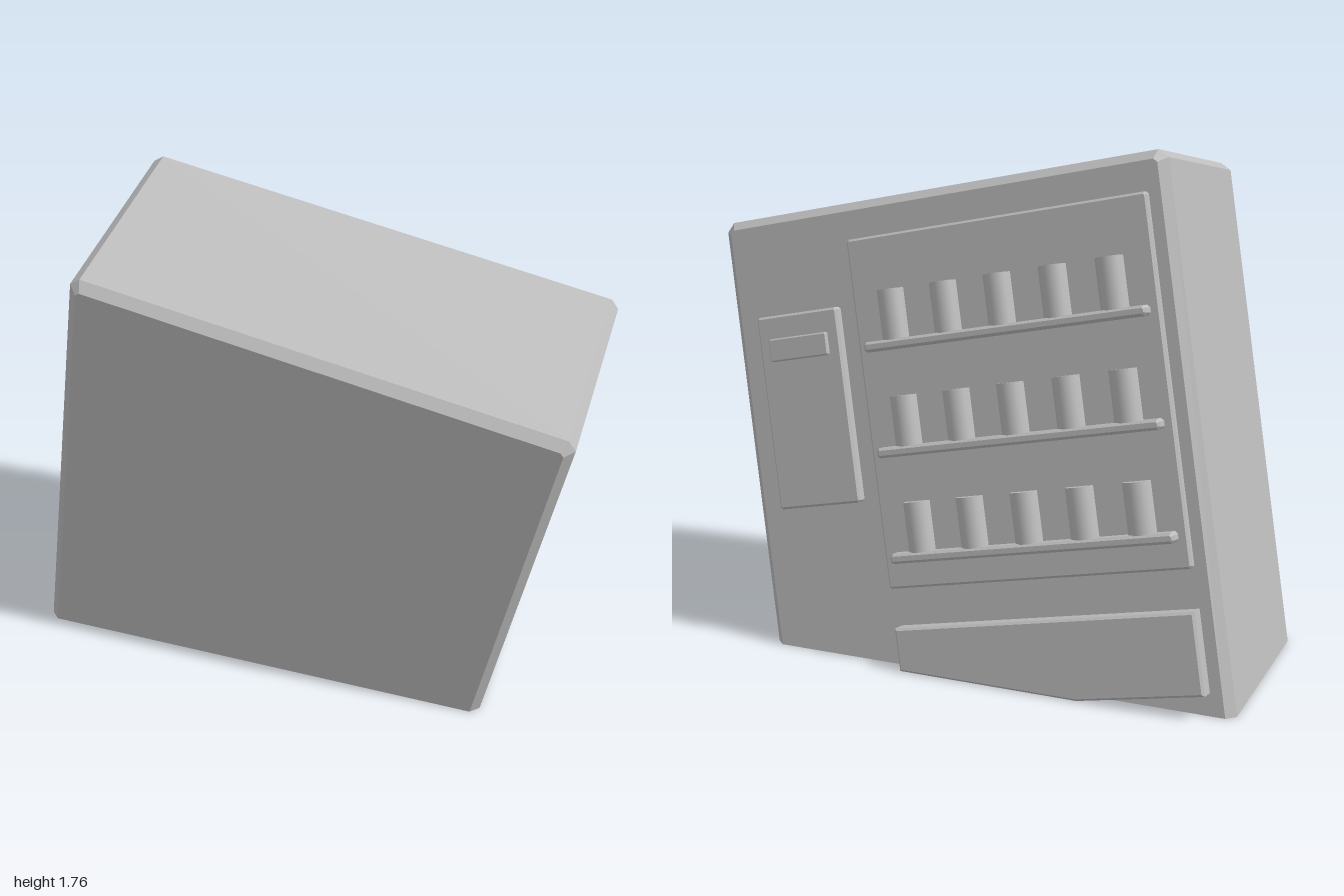
import * as THREE from 'three';

// Leaning machine axes: across, up, and depth (the display side faces -depth)
const across = new THREE.Vector3(1, -0.1945, -0.073).normalize();
const depthAxis = new THREE.Vector3().crossVectors(across, new THREE.Vector3(0.203, 1, 0.128)).normalize();
const up = new THREE.Vector3().crossVectors(depthAxis, across);
const FACE = -0.385; // local z of the display face

// Local height of the ground under a point of the leaning machine
const ground = (x, z) => -(across.y * x + depthAxis.y * z) / up.y;

// Block with chamfered edges; anything below the ground is cut off flat
function slab(points, z0, z1, chamfer) {
  const shape = new THREE.Shape(points.map(([x, y]) => new THREE.Vector2(x, y)));
  const geo = new THREE.ExtrudeGeometry(shape, {
    depth: z1 - z0 - 2 * chamfer, bevelEnabled: true, bevelSegments: 1,
    bevelThickness: chamfer, bevelSize: chamfer, bevelOffset: -chamfer,
  });
  geo.translate(0, 0, z0 + chamfer);
  const p = geo.attributes.position;
  for (let i = 0; i < p.count; i++) {
    p.setY(i, Math.max(p.getY(i), ground(p.getX(i), p.getZ(i))));
  }
  geo.computeVertexNormals();
  return geo;
}

// Rectangle outline with its corners cut by c
const outline = (x0, x1, y0, y1, c) => [
  [x0 + c, y0], [x1 - c, y0], [x1, y0 + c], [x1, y1 - c],
  [x1 - c, y1], [x0 + c, y1], [x0, y1 - c], [x0, y0 + c],
];

export function createModel() {
  const grey = new THREE.MeshStandardMaterial({ color: 0xbcbcbc });
  grey.name = 'grey';

  const model = new THREE.Group();
  model.name = 'vendingMachine';
  const machine = new THREE.Group();
  machine.name = 'leaningMachine';
  machine.quaternion.setFromRotationMatrix(new THREE.Matrix4().makeBasis(across, up, depthAxis));
  machine.position.set(-0.1375, 0, -0.0825);
  model.add(machine);

  const add = (name, geo) => {
    const mesh = new THREE.Mesh(geo, grey);
    mesh.name = name;
    machine.add(mesh);
    return mesh;
  };
  // Raised part standing out of the display face by the given amount
  const raised = (name, x0, x1, y0, y1, out, c) =>
    add(name, slab(outline(x0, x1, y0, y1, c), FACE - out, FACE + 0.03, c));

  // Cabinet, sunk into the ground
  add('cabinet', slab(outline(-0.825, 0.825, -0.4, 1.604, 0.03), FACE, -FACE, 0.03));

  // Display panel, payment panel and its slot
  raised('displayPanel', -0.755, 0.33, 0.275, 1.475, 0.026, 0.008);
  raised('paymentPanel', 0.395, 0.715, 0.58, 1.255, 0.034, 0.008);
  raised('paymentSlot', 0.44, 0.67, 1.095, 1.175, 0.048, 0.005);

  // Pickup tray, with the corner that meets the ground cut away
  const x0 = -0.755, x1 = 0.31, bottom = -0.125;
  const trayZ = FACE - 0.063;
  const cutX = (bottom - ground(0, trayZ)) / (ground(1, trayZ) - ground(0, trayZ));
  add('pickupTray', slab([
    [x0, bottom], [cutX, bottom], [x1, ground(x1, trayZ)], [x1, 0.145], [x0, 0.145],
  ], trayZ, FACE + 0.03, 0.008));

  // Three shelves, each with five cans
  const centre = -0.2125;
  const canGeo = new THREE.CylinderGeometry(0.048, 0.048, 0.17, 28);
  for (const top of [0.4, 0.76, 1.12]) {
    raised('shelf', centre - 0.51, centre + 0.5, top - 0.035, top, 0.075, 0.009);
    for (let i = -2; i <= 2; i++) {
      add('can', canGeo).position.set(centre + i * 0.197, top + 0.083, FACE - 0.024);
    }
  }
  return model;
}
